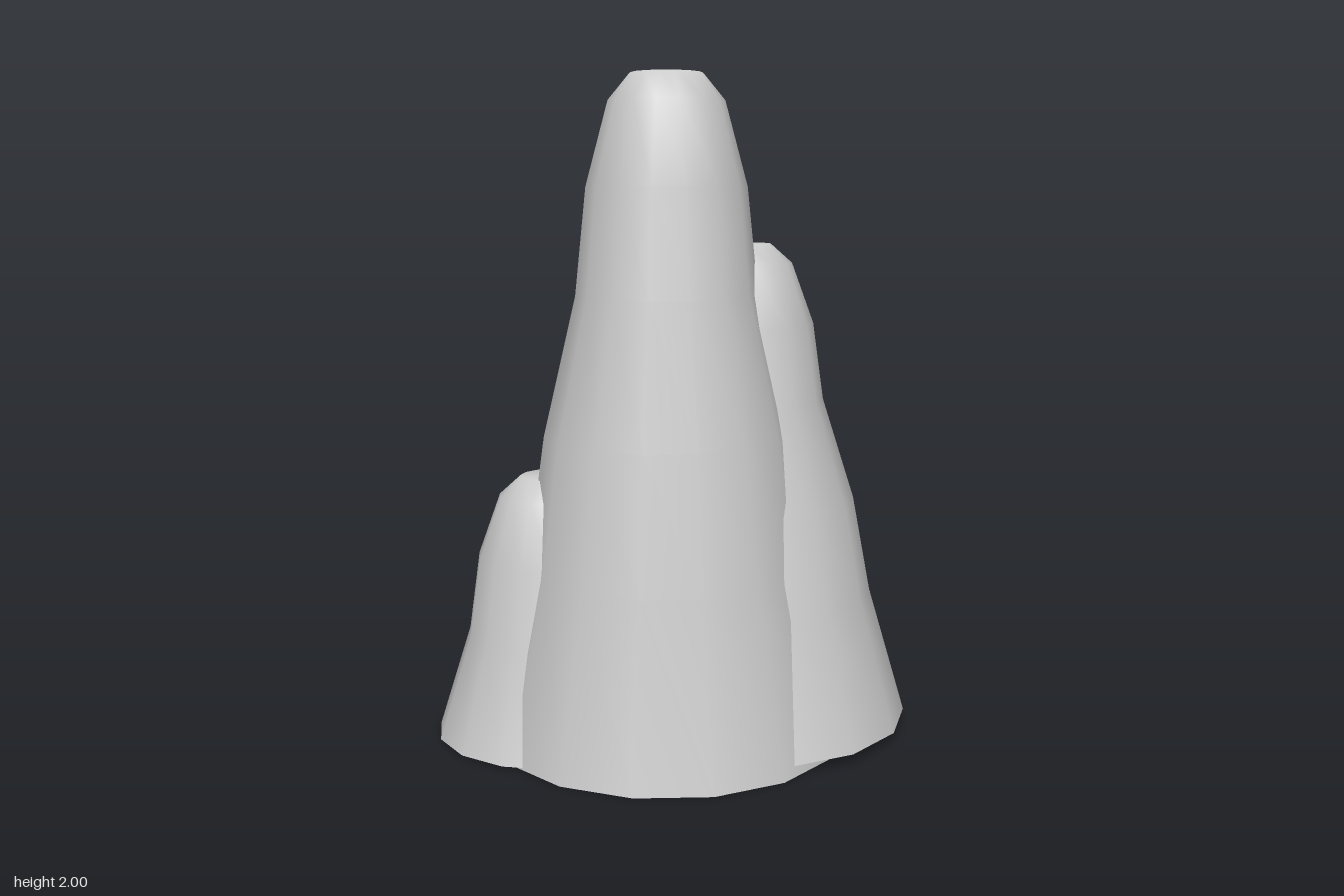
import * as THREE from 'three';

// Shared spire outline: [radius, drop below the tip]
const OUTLINE = [
  [0, 0], [0.107, 0], [0.173, 0.08], [0.24, 0.33], [0.273, 0.65],
  [0.371, 1.07], [0.426, 1.47], [0.54, 2],
];

const material = new THREE.MeshStandardMaterial({ color: 0xcccccc, side: THREE.DoubleSide });

// A 15-sided rounded spire, open underneath; rings sets how far down the outline it runs
function spire(name, x, z, top, stretch, rings, startAngle) {
  const points = OUTLINE.slice(0, rings)
    .map(([r, drop]) => new THREE.Vector2(r, top - drop * stretch))
    .reverse();
  const mesh = new THREE.Mesh(new THREE.LatheGeometry(points, 15, startAngle), material);
  mesh.name = name;
  mesh.position.set(x, 0, z);
  return mesh;
}

export function createModel() {
  const group = new THREE.Group();
  group.name = 'rockSpires';
  group.add(
    spire('tallSpire', 0.005, 0.105, 2, 1, 8, Math.PI),
    spire('middleSpire', 0.15, -0.1, 1.5, 0.735, 8, Math.PI),
    // The small spire is the upper part of the same outline
    spire('smallSpire', -0.32, 0.205, 0.8, 0.742, 6, 0),
  );
  return group;
}
